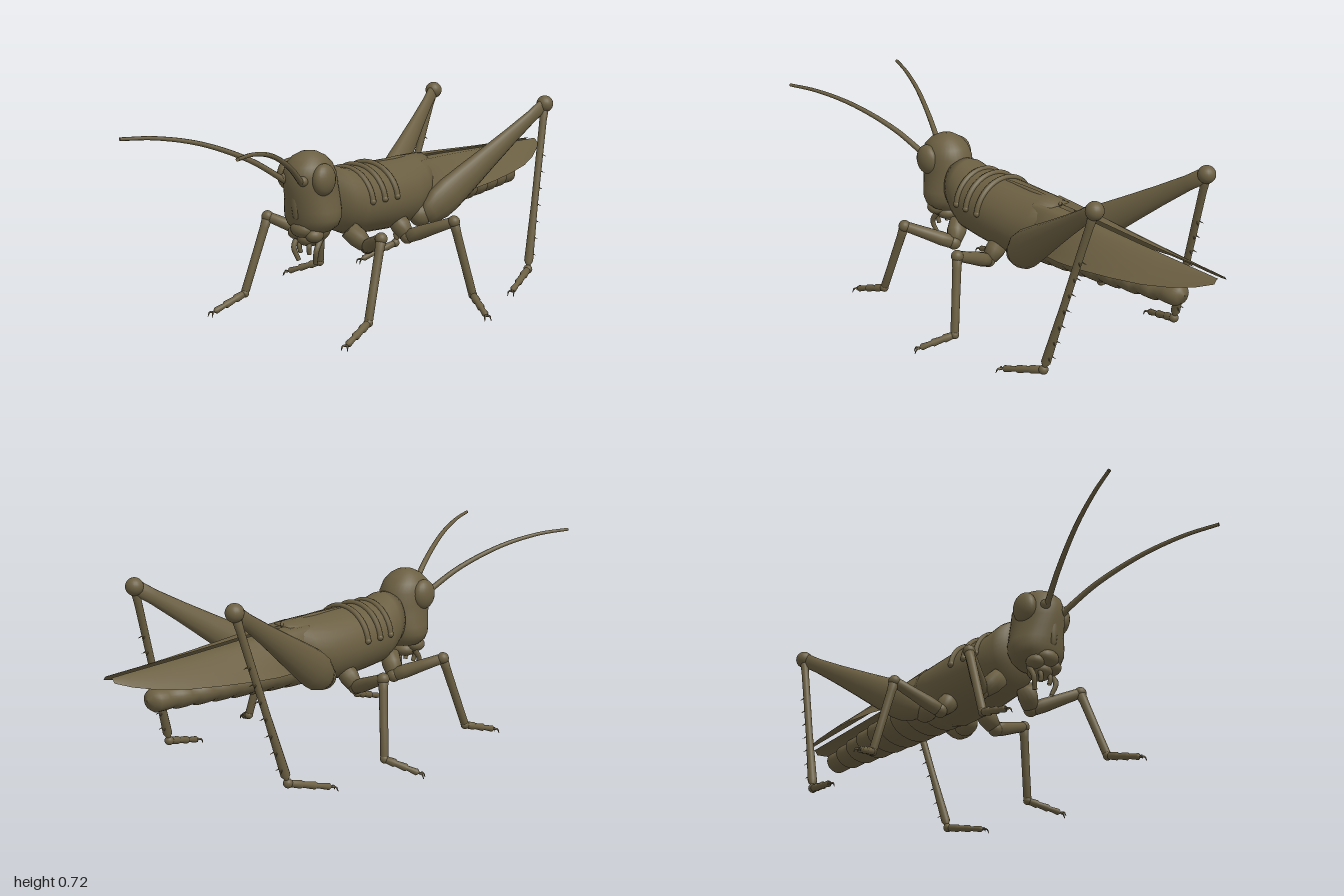
import * as THREE from 'three';

const olive = new THREE.MeshStandardMaterial({ color: 0x6b5f42, side: THREE.DoubleSide });
olive.name = 'olive brown';
const V = (x, y, z) => new THREE.Vector3(x, y, z);

function add(parent, name, geometry) {
  const mesh = new THREE.Mesh(geometry, olive);
  mesh.name = name;
  parent.add(mesh);
  return mesh;
}

// Elliptical rings [z, centreY, radiusX, radiusY], listed from +z to -z
function loft(rings, seg = 28) {
  const pos = [], idx = [];
  rings.forEach(([z, yc, rx, ry], i) => {
    for (let j = 0; j < seg; j++) {
      const t = (j / seg) * Math.PI * 2;
      pos.push(rx * Math.cos(t), yc + ry * Math.sin(t), z);
      if (i === rings.length - 1) continue;
      const a = i * seg + j, b = i * seg + (j + 1) % seg;
      idx.push(a, a + seg, b, b, a + seg, b + seg);
    }
  });
  const g = new THREE.BufferGeometry();
  g.setAttribute('position', new THREE.Float32BufferAttribute(pos, 3));
  g.setIndex(idx);
  g.computeVertexNormals();
  return g;
}

// Turned limb from a to b; profile is [fraction, radius], flat squeezes it sideways
function limb(parent, name, a, b, profile, flat = 1) {
  const dir = b.clone().sub(a), len = dir.length();
  dir.normalize();
  const pts = [[0, 0], ...profile, [1, 0]].map(([t, r]) => new THREE.Vector2(r, t * len));
  const side = V(1, 0, 0).addScaledVector(dir, -dir.x).normalize();
  const m = new THREE.Matrix4().makeBasis(side, dir, side.clone().cross(dir)).setPosition(a);
  return add(parent, name, new THREE.LatheGeometry(pts, 14).scale(flat, 1, 1).applyMatrix4(m));
}

function ball(parent, name, c, rx, ry = rx, rz = rx) {
  return add(parent, name, new THREE.SphereGeometry(1, 20, 14).scale(rx, ry, rz).translate(c.x, c.y, c.z));
}

// Tapered tube through points
function taper(parent, name, points, r0, r1, steps = 24) {
  const curve = new THREE.CatmullRomCurve3(points);
  const g = new THREE.TubeGeometry(curve, steps, 1, 8);
  const p = g.attributes.position;
  for (let i = 0; i < p.count; i++) {
    const t = Math.floor(i / 9) / steps, c = curve.getPointAt(t), r = r0 + (r1 - r0) * t;
    p.setXYZ(i, c.x + (p.getX(i) - c.x) * r, c.y + (p.getY(i) - c.y) * r, c.z + (p.getZ(i) - c.z) * r);
  }
  return add(parent, name, g);
}

// Segmented foot with two claws
function foot(parent, ankle, tip) {
  limb(parent, 'foot', ankle, tip, [[0, 0.012], [0.28, 0.015], [0.33, 0.011], [0.6, 0.014],
    [0.65, 0.009], [0.92, 0.012]]);
  const d = tip.clone().sub(ankle).setY(0).normalize(), n = V(-d.z, 0, d.x);
  for (const k of [-1, 1]) {
    const mid = tip.clone().addScaledVector(d, 0.009).addScaledVector(n, k * 0.009);
    const end = mid.clone().addScaledVector(d, 0.007).addScaledVector(n, k * 0.003).setY(0.002);
    taper(parent, 'claw', [tip, mid, end], 0.005, 0.001, 6);
  }
}

function walkingLeg(parent, name, root, hip, knee, ankle, tip) {
  const leg = new THREE.Group();
  leg.name = name;
  parent.add(leg);
  limb(leg, 'coxa', root, hip, [[0, 0.035], [0.5, 0.036], [0.9, 0.028]]);
  ball(leg, 'hipJoint', hip, 0.026);
  limb(leg, 'femur', hip, knee, [[0, 0.024], [0.25, 0.026], [0.6, 0.022], [0.95, 0.019]]);
  ball(leg, 'kneeJoint', knee, 0.022);
  limb(leg, 'tibia', knee, ankle, [[0, 0.019], [0.15, 0.016], [0.6, 0.015], [0.97, 0.015]]);
  ball(leg, 'ankleJoint', ankle, 0.016);
  foot(leg, ankle, tip);
}

function hindLeg(parent, s) {
  const leg = new THREE.Group();
  leg.name = 'hindLeg';
  parent.add(leg);
  const hip = V(s * 0.115, 0.3, -0.13), knee = V(s * 0.265, 0.665, -0.69);
  const ankle = V(s * 0.32, 0.06, -0.515), tip = V(s * 0.362, 0.018, -0.35);
  ball(leg, 'coxa', V(s * 0.095, 0.31, -0.14), 0.04, 0.045, 0.05);
  limb(leg, 'femur', hip, knee, [[0.01, 0.03], [0.05, 0.05], [0.12, 0.066], [0.2, 0.069], [0.32, 0.062],
    [0.5, 0.049], [0.7, 0.036], [0.88, 0.027], [0.98, 0.027]], 0.65);
  ball(leg, 'kneeJoint', knee, 0.032);
  limb(leg, 'tibia', knee, ankle, [[0, 0.018], [0.1, 0.014], [0.6, 0.013], [0.95, 0.017]]);
  ball(leg, 'ankleJoint', ankle, 0.017);
  // Double row of spines behind the tibia
  for (let i = 0; i < 7; i++) for (const k of [-1, 1]) {
    const p = knee.clone().lerp(ankle, 0.3 + i * 0.1);
    limb(leg, 'spine', p, p.clone().add(V(k * 0.016, -0.014, -0.022)), [[0, 0.004], [0.6, 0.002]]);
  }
  foot(leg, ankle, tip);
}

// Roof-shaped wing: flat strip along the middle, then a slope down to the outer edge
function wing(parent, s) {
  const rows = [ // z, outer x, top y, outer y
    [-0.18, 0.1, 0.5, 0.38], [-0.27, 0.13, 0.497, 0.365], [-0.4, 0.153, 0.49, 0.37], [-0.52, 0.156, 0.482, 0.378],
    [-0.65, 0.147, 0.474, 0.388], [-0.77, 0.125, 0.468, 0.396], [-0.87, 0.094, 0.463, 0.408],
    [-0.95, 0.06, 0.459, 0.425], [-1, 0.03, 0.456, 0.442]];
  const pos = [], idx = [], n = 8;
  rows.forEach(([z, xo, yt, yo], i) => {
    const fold = Math.max(0.017, 0.06 + (z + 0.24) * 0.072);
    for (let j = 0; j < n; j++) {
      const t = Math.max(0, (j - 1) / (n - 2));
      const x = j === 0 ? 0.011 : fold + (xo - fold) * t;
      pos.push(s * x, yt + (yo - yt) * Math.pow(t, 1.3), z);
      if (i === rows.length - 1 || j === n - 1) continue;
      const a = i * n + j, b = a + 1, c = a + n, d = c + 1;
      if (s > 0) idx.push(a, b, c, b, d, c);
      else idx.push(a, c, b, b, c, d);
    }
  });
  const g = new THREE.BufferGeometry();
  g.setAttribute('position', new THREE.Float32BufferAttribute(pos, 3));
  g.setIndex(idx);
  g.computeVertexNormals();
  add(parent, 'wing', g);
}

export function createModel() {
  const root = new THREE.Group();
  root.name = 'grasshopper';

  // Thorax with its saddle bands
  add(root, 'thorax', loft([[0.29, 0.44, 0.002, 0.002], [0.285, 0.44, 0.085, 0.1], [0.24, 0.425, 0.105, 0.118],
    [0.19, 0.405, 0.119, 0.12], [0.1, 0.398, 0.128, 0.123], [0, 0.393, 0.134, 0.126], [-0.1, 0.39, 0.128, 0.125],
    [-0.18, 0.4, 0.112, 0.115], [-0.25, 0.435, 0.075, 0.078], [-0.26, 0.45, 0.002, 0.002]], 36));
  for (const [z, rx, top] of [[0.17, 0.122, 0.523], [0.11, 0.128, 0.523], [0.045, 0.132, 0.522]]) {
    const pts = [];
    for (let i = 0; i <= 14; i++) {
      const a = Math.PI * (0.04 + 0.92 * i / 14);
      pts.push(V(rx * Math.cos(a), top - 0.122 + 0.122 * Math.sin(a), z));
    }
    add(root, 'saddleBand', new THREE.TubeGeometry(new THREE.CatmullRomCurve3(pts), 36, 0.011, 8));
    for (const p of [pts[0], pts[14]]) ball(root, 'bandEnd', p, 0.012);
  }
  limb(root, 'saddleKeel', V(0, 0.514, 0.03), V(0, 0.503, -0.26), [[0, 0.008], [0.5, 0.012], [0.98, 0.008]]);

  // Abdomen of overlapping segments
  const rings = [[-0.1, 0.36, 0.002, 0.002]];
  for (let i = 0; i < 9; i++) {
    const t = i / 8, z = -0.11 - i * 0.08, yc = 0.352 - 0.01 * t;
    const rx = 0.108 - 0.062 * t * t, ry = 0.076 - 0.036 * t;
    rings.push([z, yc, rx * 0.95, ry * 0.95], [z - 0.035, yc, rx, ry], [z - 0.072, yc, rx, ry]);
  }
  rings.push([-0.84, 0.345, 0.03, 0.03], [-0.85, 0.345, 0.002, 0.002]);
  add(root, 'abdomen', loft(rings));

  // Head: rings from crown to chin [height, -z, radiusX, radiusZ], stood upright
  const head = new THREE.Group();
  head.name = 'head';
  root.add(head);
  add(head, 'skull', loft([[0.616, -0.37, 0.002, 0.002], [0.611, -0.37, 0.03, 0.03], [0.595, -0.37, 0.058, 0.061],
    [0.57, -0.37, 0.078, 0.086], [0.535, -0.367, 0.088, 0.1], [0.49, -0.362, 0.09, 0.102], [0.45, -0.355, 0.094, 0.1],
    [0.41, -0.352, 0.104, 0.095], [0.38, -0.352, 0.106, 0.089], [0.355, -0.352, 0.096, 0.08],
    [0.335, -0.352, 0.07, 0.065], [0.325, -0.352, 0.002, 0.002]], 36).rotateX(-Math.PI / 2));
  limb(head, 'faceRidge', V(0, 0.57, 0.44), V(0, 0.38, 0.435), [[0.05, 0.015], [0.3, 0.022], [0.7, 0.02], [0.95, 0.014]]);
  ball(head, 'upperLip', V(0, 0.345, 0.41), 0.045, 0.03, 0.035);
  ball(head, 'lowerLip', V(0, 0.305, 0.37), 0.045, 0.028, 0.045);

  for (const s of [1, -1]) {
    ball(head, 'eye', V(s * 0.08, 0.525, 0.385), 0.033, 0.056, 0.05);
    ball(head, 'jaw', V(s * 0.04, 0.325, 0.39), 0.031, 0.026, 0.035);
    ball(head, 'antennaSocket', V(s * 0.042, 0.525, 0.45), 0.018);
    taper(head, 'antenna', [V(s * 0.04, 0.52, 0.455), V(s * 0.088, 0.6, 0.57), V(s * 0.155, 0.672, 0.73),
      V(s * 0.215, 0.707, 0.88), V(s * 0.262, 0.716, 0.998)], 0.011, 0.006, 32);
    taper(head, 'innerPalp', [V(s * 0.02, 0.31, 0.38), V(s * 0.022, 0.28, 0.4), V(s * 0.02, 0.255, 0.395)], 0.01, 0.008, 10);
    taper(head, 'outerPalp', [V(s * 0.05, 0.31, 0.37), V(s * 0.052, 0.27, 0.395), V(s * 0.038, 0.222, 0.385)], 0.011, 0.008, 10);

    wing(root, s);
    walkingLeg(root, 'frontLeg', V(s * 0.06, 0.32, 0.23), V(s * 0.115, 0.257, 0.195),
      V(s * 0.262, 0.33, 0.3), V(s * 0.287, 0.06, 0.4), V(s * 0.308, 0.018, 0.54));
    walkingLeg(root, 'middleLeg', V(s * 0.07, 0.32, -0.02), V(s * 0.13, 0.255, -0.015),
      V(s * 0.308, 0.33, -0.055), V(s * 0.362, 0.06, -0.1), V(s * 0.47, 0.018, -0.033));
    hindLeg(root, s);
  }
  return root;
}
